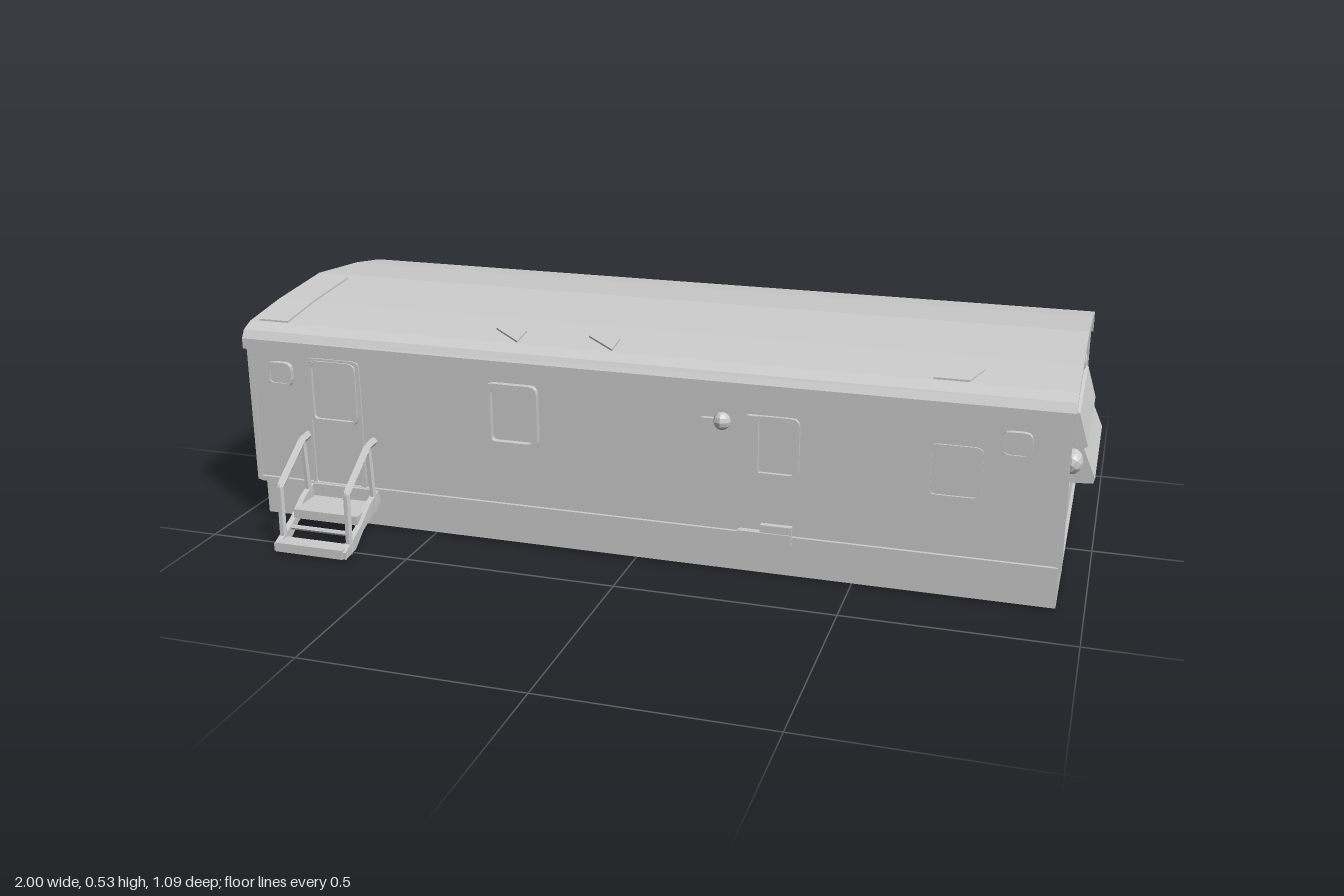
import * as THREE from 'three';

const grey = new THREE.MeshStandardMaterial({ color: 0xcccccc, flatShading: true, side: THREE.DoubleSide });

function add(parent, name, geometry, x = 0, y = 0, z = 0) {
  const mesh = new THREE.Mesh(geometry, grey);
  mesh.name = name;
  mesh.position.set(x, y, z);
  parent.add(mesh);
  return mesh;
}

const box = (parent, name, w, h, d, x, y, z) => add(parent, name, new THREE.BoxGeometry(w, h, d), x, y, z);

// Extrudes a [z, y] cross-section along x from x0 to x1
function alongX(points, x0, x1) {
  const shape = new THREE.Shape(points.map(([z, y]) => new THREE.Vector2(-z, y)));
  const g = new THREE.ExtrudeGeometry(shape, { depth: x1 - x0, bevelEnabled: false });
  return g.rotateY(Math.PI / 2).translate(x0, 0, 0);
}

function roundRect(path, w, h, r) {
  const x = w / 2, y = h / 2;
  path.moveTo(-x + r, -y);
  path.lineTo(x - r, -y).quadraticCurveTo(x, -y, x, -y + r);
  path.lineTo(x, y - r).quadraticCurveTo(x, y, x - r, y);
  path.lineTo(-x + r, y).quadraticCurveTo(-x, y, -x, y - r);
  path.lineTo(-x, -y + r).quadraticCurveTo(-x, -y, -x + r, -y);
  return path;
}

// Raised rounded frame lying on a wall that faces +z
function frame(parent, name, w, h, x, y, t = 0.012, depth = 0.014) {
  const shape = roundRect(new THREE.Shape(), w, h, 0.018);
  shape.holes.push(roundRect(new THREE.Path(), w - 2 * t, h - 2 * t, 0.01));
  add(parent, name, new THREE.ExtrudeGeometry(shape, { depth, bevelEnabled: false, curveSegments: 3 }), x, y, -0.003);
}

// Straight round bars through a list of points
function bars(parent, name, points, r) {
  for (let i = 1; i < points.length; i++) {
    const curve = new THREE.LineCurve3(new THREE.Vector3(...points[i - 1]), new THREE.Vector3(...points[i]));
    add(parent, name, new THREE.TubeGeometry(curve, 1, r, 6));
  }
  for (const p of points.slice(1)) add(parent, name + 'Joint', new THREE.SphereGeometry(r, 6, 4), ...p);
}

function steps() {
  const g = new THREE.Group();
  g.name = 'entrySteps';
  box(g, 'upperTread', 0.165, 0.022, 0.1, 0, 0.07, 0.05);
  box(g, 'upperRiser', 0.15, 0.03, 0.02, 0, 0.1, 0.005);
  box(g, 'lowerTread', 0.17, 0.022, 0.04, 0, 0.02, 0.165);
  for (const s of [-1, 1]) {
    const x = s * 0.085;
    bars(g, 'handrail', [[x, 0.235, -0.01], [x, 0.23, 0.035], [x, 0.155, 0.145], [x, 0.015, 0.148]], 0.009);
    bars(g, 'railPost', [[x, 0.23, 0.03], [x, 0.09, 0.02]], 0.008);
    const side = alongX([[0, 0.115], [0.05, 0.095], [0.1, 0.06], [0.18, 0.025],
      [0.18, 0.008], [0.13, 0.015], [0.09, 0.045], [0, 0.08]], x - 0.007, x + 0.007);
    add(g, 'stringer', side);
  }
  bars(g, 'stepBrace', [[-0.085, 0.045, 0.12], [0.085, 0.045, 0.12]], 0.006);
  return g;
}

// Everything fixed on one long wall, which faces local +z
function wallFittings() {
  const g = new THREE.Group();
  g.name = 'wallFittings';
  frame(g, 'doorFrame', 0.14, 0.32, -0.73, 0.265, 0.009, 0.008);
  frame(g, 'doorWindow', 0.12, 0.15, -0.73, 0.345, 0.008, 0.012);
  frame(g, 'window', 0.125, 0.15, -0.28, 0.333, 0.013, 0.018);
  frame(g, 'window', 0.115, 0.14, 0.325, 0.32, 0.01, 0.012);
  box(g, 'windowShutter', 0.025, 0.14, 0.014, 0.28, 0.32, 0.005);
  frame(g, 'window', 0.115, 0.12, 0.715, 0.305, 0.007, 0.008);
  for (const x of [-0.865, 0.838]) {
    frame(g, 'cornerLampFrame', 0.064, 0.058, x, 0.38, 0.008, 0.016);
    box(g, 'cornerLamp', 0.05, 0.044, 0.01, x, 0.38, 0.004);
  }
  add(g, 'roundLamp', new THREE.SphereGeometry(0.02, 8, 6), 0.21, 0.37, 0.006);
  box(g, 'lampBracket', 0.05, 0.015, 0.016, 0.19, 0.368, 0.004);
  box(g, 'sillVent', 0.12, 0.025, 0.024, 0.31, 0.11, 0.004);
  box(g, 'sillVentTop', 0.07, 0.02, 0.018, 0.335, 0.13, 0.004);
  box(g, 'lowerTrim', 1.88, 0.012, 0.01, 0, 0.11, 0.002);
  const s = steps();
  s.position.x = -0.72;
  g.add(s);
  return g;
}

export function createModel() {
  const model = new THREE.Group();
  model.name = 'trailerCabin';

  // Cabin walls and ceiling
  add(model, 'cabinBody', alongX([[0.366, 0.105], [0.368, 0.44], [0.352, 0.475], [0.32, 0.487], [0, 0.522],
    [-0.31, 0.487], [-0.34, 0.475], [-0.356, 0.44], [-0.355, 0.105]], -0.945, 0.94));

  // Thin curved roof sheet with drip edges
  add(model, 'roof', alongX([[0.377, 0.435], [0.377, 0.46], [0.365, 0.479], [0.335, 0.492], [0.2, 0.512], [0, 0.53],
    [-0.2, 0.512], [-0.325, 0.492], [-0.352, 0.479], [-0.364, 0.46], [-0.364, 0.435],
    [-0.35, 0.435], [-0.345, 0.465], [-0.31, 0.48], [0, 0.515], [0.32, 0.48], [0.357, 0.465], [0.362, 0.435]], -0.957, 0.952));

  // Open-bottomed skirt
  const skirt = new THREE.Shape();
  skirt.moveTo(-0.945, -0.343).lineTo(0.94, -0.343).lineTo(0.94, 0.326).lineTo(-0.945, 0.326).closePath();
  const hole = new THREE.Path();
  hole.moveTo(-0.935, -0.333).lineTo(-0.935, 0.316).lineTo(0.93, 0.316).lineTo(0.93, -0.333).closePath();
  skirt.holes.push(hole);
  add(model, 'skirt', new THREE.ExtrudeGeometry(skirt, { depth: 0.1, bevelEnabled: false }).rotateX(-Math.PI / 2), 0, 0.01, 0);

  // Floor beams and bulkhead
  box(model, 'bulkhead', 0.015, 0.09, 0.65, -0.62, 0.06, 0.008);
  for (const x of [0.34, 0.39, -0.74, -0.79]) box(model, 'floorBeam', 0.022, 0.03, 0.65, x, 0.092, 0.008);

  // Fittings on both long walls
  for (const [z, s] of [[0.367, 1], [-0.355, -1]]) {
    const wall = wallFittings();
    wall.position.z = z;
    wall.scale.z = s;
    model.add(wall);
  }

  // End walls: lamps, trim and tilted window flaps
  for (const s of [-1, 1]) {
    const end = new THREE.Group();
    end.name = s > 0 ? 'leftEnd' : 'rightEnd';
    end.position.x = s > 0 ? 0.94 : -0.945;
    end.scale.x = s;
    const w = s > 0 ? 0.18 : 0.117;
    const flap = s > 0
      ? [[0, 0.4], [0.012, 0.395], [0.034, 0.322], [0.026, 0.316], [0.055, 0.25], [0.052, 0.238], [0, 0.235]]
      : [[0, 0.38], [0.012, 0.375], [0.055, 0.25], [0.05, 0.24], [0, 0.24]];
    const shape = new THREE.Shape(flap.map(([x, y]) => new THREE.Vector2(x, y)));
    add(end, 'windowFlap', new THREE.ExtrudeGeometry(shape, { depth: 2 * w, bevelEnabled: false }), 0, 0, -w - 0.005);
    for (const z of [-0.225, 0.235]) {
      add(end, 'endLamp', new THREE.IcosahedronGeometry(0.029, 1), 0.006, 0.307, z).scale.x = 0.8;
    }
    add(end, 'topLamp', new THREE.IcosahedronGeometry(0.024, 1), 0.002, 0.468, 0.018).scale.x = 0.5;
    box(end, 'endTrim', 0.012, 0.012, 0.72, 0, 0.11, 0.006);
    box(end, 'endRail', 0.006, 0.008, 0.71, 0, 0.232, 0.006);
    for (const z of [-0.349, 0.361]) box(end, 'cornerTrim', 0.014, 0.335, 0.016, 0, 0.272, z);
    model.add(end);
  }

  // Flat plates on the front slope of the roof
  const plate = (name, pts) => {
    const shape = new THREE.Shape(pts.map(([x, z]) => new THREE.Vector2(x, -z)));
    const g = new THREE.ExtrudeGeometry(shape, { depth: 0.004, bevelEnabled: false }).rotateX(-Math.PI / 2);
    const p = g.attributes.position;
    for (let i = 0; i < p.count; i++) {
      const z = p.getZ(i);
      p.setY(i, p.getY(i) + (z < 0.2 ? 0.53 - 0.09 * z : 0.512 - 0.148 * (z - 0.2)));
    }
    g.computeVertexNormals();
    add(model, name, g);
  };
  for (const x of [-0.355, -0.13]) plate('roofVent', [[x, 0.27], [x + 0.075, 0.27], [x + 0.075, 0.33]]);
  plate('roofHatch', [[0.655, 0.27], [0.755, 0.27], [0.73, 0.33], [0.655, 0.33]]);
  plate('roofPatch', [[-0.935, 0.03], [-0.86, 0.03], [-0.86, 0.2], [-0.86, 0.33], [-0.935, 0.33], [-0.935, 0.2]]);

  return model;
}
